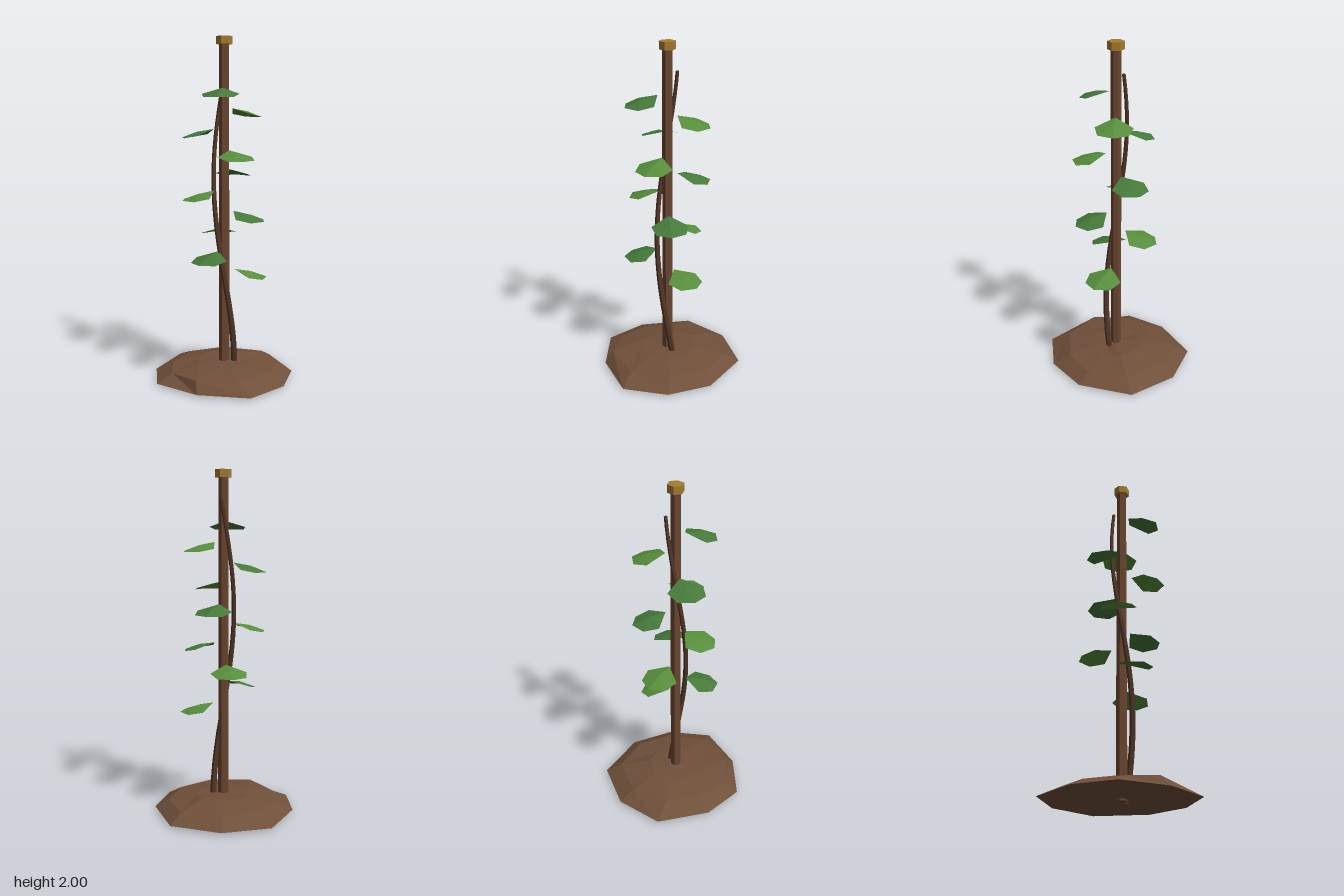
import * as THREE from 'three';

const mat = (color, side = THREE.FrontSide) =>
  new THREE.MeshStandardMaterial({ color, flatShading: true, side });

function add(parent, name, geometry, material) {
  const mesh = new THREE.Mesh(geometry, material);
  mesh.name = name;
  parent.add(mesh);
  return mesh;
}

// Faceted surface from a list of triangles, each corner an [x, y, z]
function facets(tris) {
  const g = new THREE.BufferGeometry();
  g.setAttribute('position', new THREE.Float32BufferAttribute(tris.flat(2), 3));
  g.computeVertexNormals();
  return g;
}

// Irregular nine-sided soil mound: rim, shoulder and crown rings plus a peak
function moundGeometry() {
  const rim = [[0.06, -0.435], [0.335, -0.3], [0.41, 0.02], [0.31, 0.27], [0.09, 0.43],
    [-0.2, 0.34], [-0.41, 0.135], [-0.4, -0.125], [-0.23, -0.395]].map(([x, z]) => [x, 0.01, z]);
  const shoulder = [[0.04, 0.06, -0.34], [0.27, 0.06, -0.23], [0.33, 0.058, 0], [0.24, 0.068, 0.19],
    [0.04, 0.062, 0.33], [-0.2, 0.07, 0.28], [-0.32, 0.055, 0.09], [-0.3, 0.06, -0.1], [-0.18, 0.065, -0.27]];
  const crown = shoulder.map(([x, , z], i) => [x * 0.5, 0.088 + (z < -0.1 ? 0.012 : 0) - (i % 3) * 0.002, z * 0.5]);
  const tris = [];
  const n = rim.length;
  for (let i = 0; i < n; i++) {
    const j = (i + 1) % n;
    for (const [a, b] of [[rim, shoulder], [shoulder, crown]]) {
      tris.push([a[i], b[i], b[j]], [a[i], b[j], a[j]]);
    }
    tris.push([[0, 0.095, 0], crown[j], crown[i]]);
    tris.push([[0, 0.01, 0], rim[i], rim[j]]);
  }
  return facets(tris);
}

// Vine: a helix around the stake, thinning towards its tip
class Helix extends THREE.Curve {
  getPoint(t, target = new THREE.Vector3()) {
    const a = t * 5.0;
    return target.set(0.061 * Math.cos(a), 1.83 * t, 0.061 * Math.sin(a));
  }
}

function vineGeometry(path, r0, r1) {
  const segments = 28, sides = 6;
  const g = new THREE.TubeGeometry(path, segments, r0, sides);
  const pos = g.attributes.position;
  const v = new THREE.Vector3();
  for (let i = 0; i <= segments; i++) {
    const c = path.getPointAt(i / segments);
    const k = THREE.MathUtils.lerp(1, r1 / r0, i / segments);
    for (let j = 0; j <= sides; j++) {
      const id = i * (sides + 1) + j;
      v.fromBufferAttribute(pos, id).sub(c).multiplyScalar(k).add(c);
      pos.setXYZ(id, v.x, v.y, v.z);
    }
  }
  g.computeVertexNormals();
  return g;
}

// Leaf: six-sided drooping fan pointing along +x
function leafGeometry() {
  const edge = [[0.06, 0, 0], [0.13, -0.035, -0.107], [0.215, -0.052, -0.085],
    [0.257, -0.052, 0], [0.215, -0.052, 0.085], [0.13, -0.035, 0.107]];
  const middle = [0.16, -0.016, 0];
  return facets(edge.map((p, i) => [middle, edge[(i + 1) % 6], p]));
}

export function createModel() {
  const model = new THREE.Group();
  model.name = 'stakedPlant';

  add(model, 'soilMound', moundGeometry(), mat(0x70503a));

  // Hexagonal stake with a wider cap
  const stake = add(model, 'stake', new THREE.CylinderGeometry(0.029, 0.032, 1.96, 6), mat(0x6b4630));
  stake.position.y = 0.98;
  stake.rotation.y = Math.PI / 6;
  const cap = add(model, 'stakeCap', new THREE.CylinderGeometry(0.047, 0.047, 0.045, 6), mat(0xa57c32));
  cap.position.y = 1.9775;
  cap.rotation.y = Math.PI / 6;

  // Climbing vine and its blunt end
  const path = new Helix();
  const vineMat = mat(0x523626, THREE.DoubleSide);
  add(model, 'vine', vineGeometry(path, 0.019, 0.01), vineMat);
  const tip = add(model, 'vineTip', new THREE.CircleGeometry(0.01, 6), vineMat);
  tip.position.copy(path.getPoint(1));
  tip.rotation.x = -Math.PI / 2;

  // Ten leaves spiralling up the vine in two alternating greens
  const leaf = leafGeometry();
  const greens = [mat(0x578f3c, THREE.DoubleSide), mat(0x467a3a, THREE.DoubleSide)];
  for (let i = 0; i < 10; i++) {
    const m = add(model, `leaf${i + 1}`, leaf, greens[i % 2]);
    m.position.y = 0.648 + i * 0.118;
    m.rotation.y = -i * 2.3;
  }
  return model;
}
